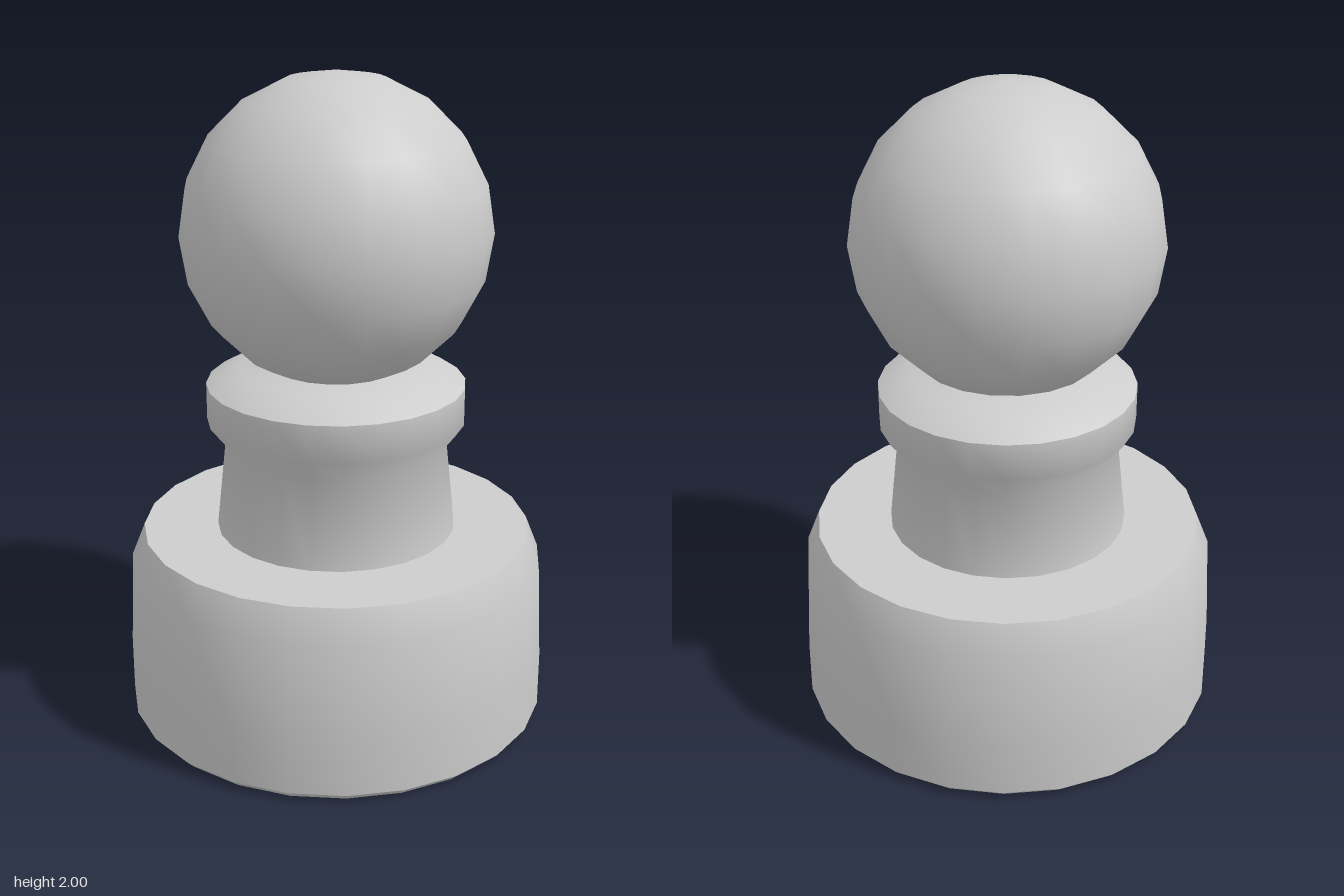
import * as THREE from 'three';
import { toCreasedNormals } from 'three/addons/utils/BufferGeometryUtils.js';

export function createModel() {
  const group = new THREE.Group();
  group.name = 'pawn';
  const grey = new THREE.MeshStandardMaterial({ color: 0xcccccc });
  grey.name = 'light grey';

  // Turned part from [radius, height] pairs, bottom to top
  const turned = (name, profile, crease) => {
    const points = profile.map(([r, y]) => new THREE.Vector2(r, y));
    const geometry = toCreasedNormals(new THREE.LatheGeometry(points, 24), crease);
    const mesh = new THREE.Mesh(geometry, grey);
    mesh.name = name;
    group.add(mesh);
  };

  // Heavy foot with a small bevel underneath and a rounded shoulder
  turned('base', [
    [0, 0], [0.63, 0], [0.655, 0.025], [0.655, 0.2],
    [0.64, 0.5], [0.6, 0.6], [0, 0.6],
  ], 0.7);

  // Tapered neck flaring into the collar
  turned('neckAndCollar', [
    [0.37, 0.6], [0.34, 0.88], [0.395, 0.95], [0.395, 1.065],
    [0.3, 1.12], [0, 1.12],
  ], 0.87);

  // Ball resting in the collar
  const head = new THREE.Mesh(new THREE.SphereGeometry(0.465, 20, 10), grey);
  head.name = 'head';
  head.position.y = 1.535;
  group.add(head);

  return group;
}
